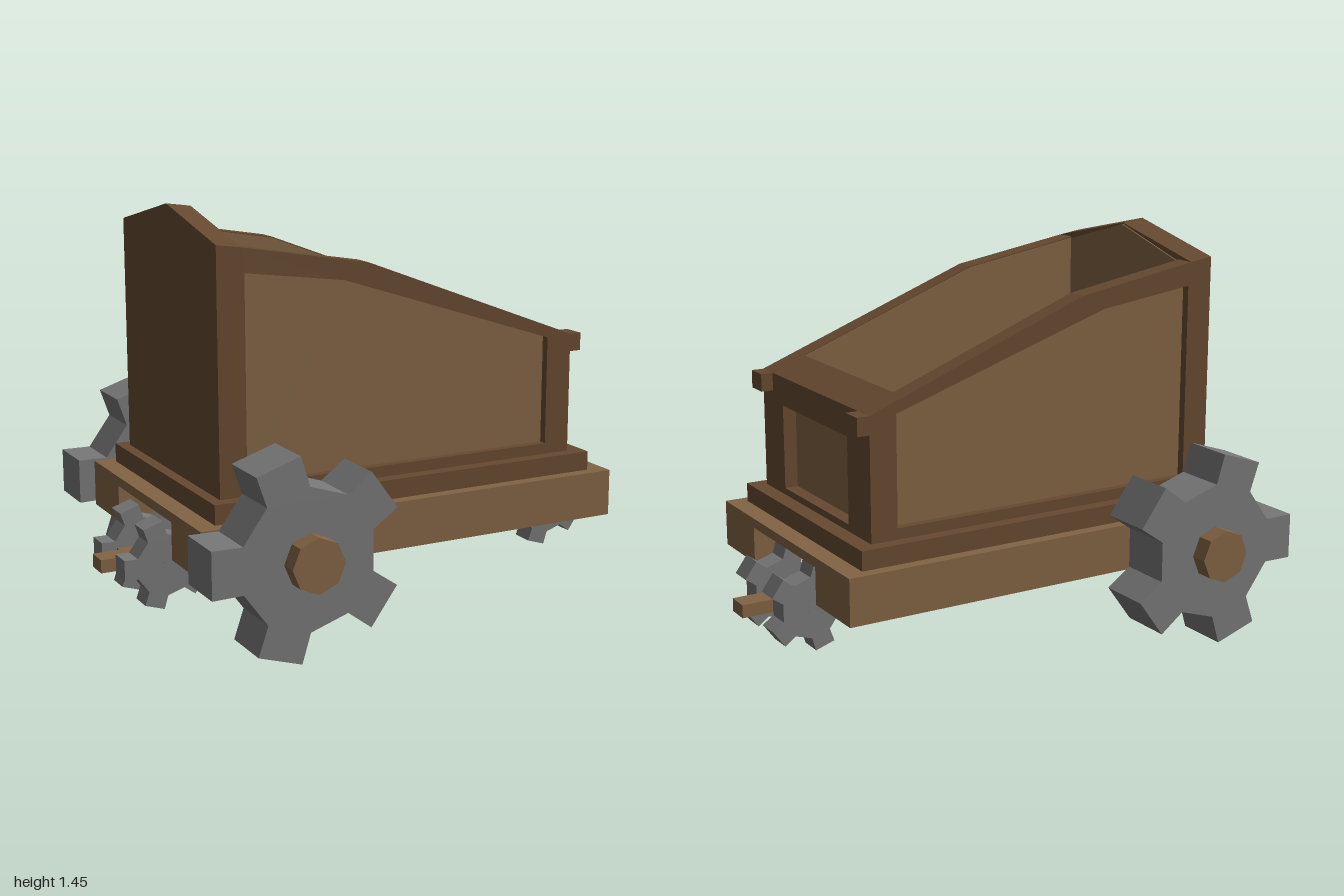
import * as THREE from 'three';

const mat = (color) => new THREE.MeshStandardMaterial({ color, flatShading: true });

export function createModel() {
  const root = new THREE.Group();
  const dark = mat(0x664a30), light = mat(0x826444), grey = mat(0x787878);

  const add = (name, geo, material) => {
    const mesh = new THREE.Mesh(geo, material);
    mesh.name = name;
    root.add(mesh);
    return mesh;
  };
  // Box given by its min/max extents
  const box = (name, material, x0, x1, y0, y1, z0, z1) => {
    const g = new THREE.BoxGeometry(x1 - x0, y1 - y0, z1 - z0);
    g.translate((x0 + x1) / 2, (y0 + y1) / 2, (z0 + z1) / 2);
    return add(name, g, material);
  };
  const outline = (pts, hole) => {
    const s = new THREE.Shape(pts.map((p) => new THREE.Vector2(...p)));
    if (hole) s.holes.push(new THREE.Path(hole.map((p) => new THREE.Vector2(...p))));
    return s;
  };
  const extrude = (shape, depth) => new THREE.ExtrudeGeometry(shape, { depth, bevelEnabled: false });
  // Slab across the body (drawn in z, y) whose top edge slopes down along +x
  const endSlab = (name, material, shape, x0, x1, slope) => {
    const g = extrude(shape, x1 - x0).rotateY(Math.PI / 2).translate(x0, 0, 0);
    const p = g.attributes.position;
    for (let i = 0; i < p.count; i++) {
      if (p.getY(i) > 0.9) p.setY(i, p.getY(i) - slope * (p.getX(i) - x0));
    }
    g.computeVertexNormals();
    return add(name, g, material);
  };

  // Base: a deck on two heavy side beams, leaving an open channel below
  box('baseDeck', light, -0.82, 0.82, 0.4, 0.435, -0.51, 0.51);
  for (const s of [-1, 1]) {
    const z = [s * 0.255, s * 0.51].sort((a, b) => a - b);
    box('baseBeam', light, -0.82, 0.82, 0.265, 0.4, z[0], z[1]);
  }
  box('plinth', dark, -0.75, 0.75, 0.435, 0.505, -0.467, 0.467);

  // Hopper side walls: frame with a recessed panel
  const sideFrame = outline(
    [[-0.62, 0.5], [0.69, 0.5], [0.69, 0.945], [-0.15, 1.265], [-0.62, 1.345]],
    [[-0.61, 0.545], [-0.61, 1.26], [-0.24, 1.21], [0.59, 0.94], [0.59, 0.545]]);
  const sidePanel = outline(
    [[-0.62, 0.5], [0.6, 0.5], [0.6, 0.975], [-0.15, 1.26], [-0.62, 1.34]]);
  for (const s of [-1, 1]) {
    add('sideFrame', extrude(sideFrame, 0.075).translate(0, 0, s > 0 ? 0.345 : -0.42), dark);
    add('sidePanel', extrude(sidePanel, 0.05).translate(0, 0, s > 0 ? 0.34 : -0.39), light);
  }

  // Tall gabled wall with its inner lining
  endSlab('tallWall', dark, outline(
    [[-0.42, 0.5], [0.42, 0.5], [0.42, 1.358], [0, 1.452], [-0.42, 1.358]]), -0.71, -0.62, 0.14);
  endSlab('tallWallLining', light, outline(
    [[-0.34, 0.5], [0.34, 0.5], [0.34, 1.34], [0, 1.435], [-0.34, 1.34]]), -0.621, -0.615, 0.14);

  // Low wall with a recessed panel, and two corner lugs
  endSlab('lowWall', dark, outline(
    [[-0.345, 0.5], [0.345, 0.5], [0.345, 0.995], [-0.345, 0.995]],
    [[-0.255, 0.53], [-0.255, 0.84], [0.255, 0.84], [0.255, 0.53]]), 0.56, 0.69, 0.381);
  box('lowWallPanel', light, 0.55, 0.64, 0.5, 0.96, -0.34, 0.34);
  for (const s of [-1, 1]) {
    const z = [s * 0.337, s * 0.42].sort((a, b) => a - b);
    box('cornerLug', dark, 0.68, 0.735, 0.88, 0.945, z[0], z[1]);
  }

  // Centre rail hung below the deck
  box('centreRail', light, -1, 1, 0.182, 0.23, -0.042, 0.042);
  for (const x of [0.125, 0.45]) box('railPost', light, x - 0.045, x + 0.045, 0.22, 0.41, -0.045, 0.045);

  // Five-toothed cog wheel, one tooth pointing to -x
  const cog = (radius, width) => {
    const pts = [];
    for (let i = 0; i < 5; i++) {
      for (const [deg, r] of [[-19, 0.7], [-13.5, 1], [13.5, 1], [19, 0.7]]) {
        const a = THREE.MathUtils.degToRad(180 + i * 72 + deg);
        pts.push([Math.cos(a) * r * radius, Math.sin(a) * r * radius]);
      }
    }
    return extrude(outline(pts), width).translate(0, 0, -width / 2);
  };
  const rod = (r, length, sides) => new THREE.CylinderGeometry(r, r, length, sides).rotateX(Math.PI / 2);

  // Large wheels on a thick axle
  add('largeAxle', rod(0.096, 1.57, 8), light).position.set(-0.525, 0.353, 0);
  for (const s of [-1, 1]) add('largeWheel', cog(0.354, 0.193), grey).position.set(-0.53, 0.355, s * 0.626);

  // Small wheel pairs at both ends
  for (const x of [-0.8, 0.79]) {
    box('wheelBracket', light, x - 0.1, x - 0.04, 0.186, 0.228, -0.075, 0.075);
    add('smallAxle', rod(0.017, 0.314, 8), grey).position.set(x, 0.216, 0);
    for (const s of [-1, 1]) add('smallWheel', cog(0.16, 0.087), grey).position.set(x, 0.216, s * 0.113);
  }
  return root;
}
